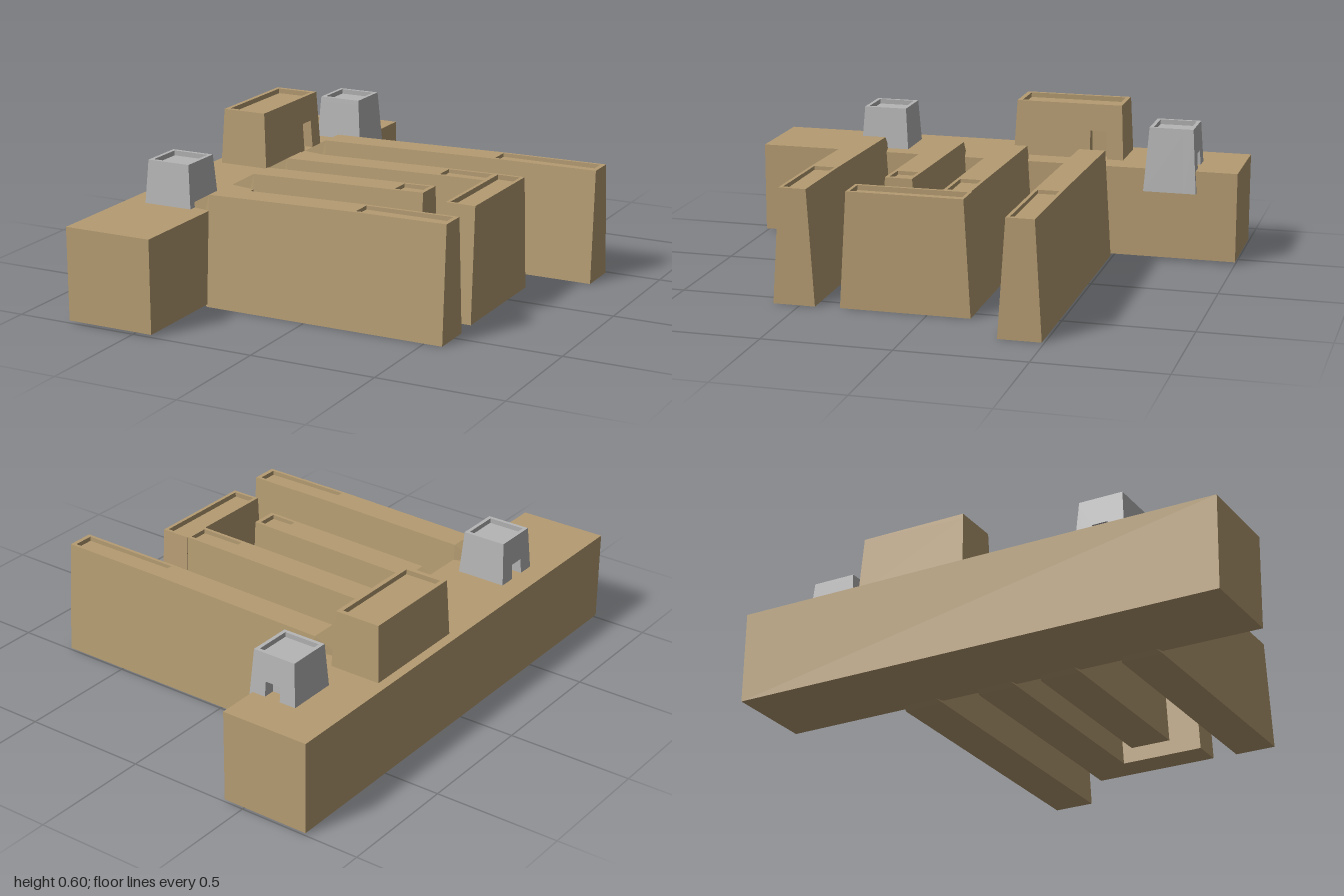
import * as THREE from 'three';
import { mergeGeometries } from 'three/addons/utils/BufferGeometryUtils.js';

const sand = new THREE.MeshStandardMaterial({ color: 0xb59c72 });
sand.name = 'sand';
const grey = new THREE.MeshStandardMaterial({ color: 0xb5b5b5 });
grey.name = 'stone grey';

function addMesh(parent, name, geometry, material) {
  const mesh = new THREE.Mesh(geometry, material);
  mesh.name = name;
  parent.add(mesh);
  return mesh;
}

function polygon(points) {
  return new THREE.Shape(points.map(([x, y]) => new THREE.Vector2(x, y)));
}

// Tapered block with a sunken top and an optional door niche on its +z side.
// w, d are the foot sizes, topW, topD the sizes at height h.
function turret({ w, d, h, topW, topD, rim, door }) {
  const sink = 0.02;
  const niche = 0.05;
  const bodyH = h - sink;
  const bodyD = door ? d - niche : d;
  const parts = [];

  const body = new THREE.BoxGeometry(w, bodyH, bodyD);
  body.translate(0, bodyH / 2, (bodyD - d) / 2);
  parts.push(body.toNonIndexed());

  if (door) {
    const a = door.x - door.w / 2;
    const b = door.x + door.w / 2;
    const face = polygon([
      [-w / 2, 0], [a, 0], [a, door.h], [b, door.h], [b, 0],
      [w / 2, 0], [w / 2, bodyH], [-w / 2, bodyH],
    ]);
    const front = new THREE.ExtrudeGeometry(face, { depth: niche, bevelEnabled: false });
    front.translate(0, 0, d / 2 - niche);
    parts.push(front);
  }

  // parapet ring
  const rect = (x, z) => [[-x, -z], [x, -z], [x, z], [-x, z]];
  const ring = polygon(rect(w / 2, d / 2));
  ring.holes.push(polygon(rect(w / 2 - rim, d / 2 - rim).reverse()));
  const parapet = new THREE.ExtrudeGeometry(ring, { depth: sink, bevelEnabled: false });
  parapet.rotateX(-Math.PI / 2).translate(0, bodyH, 0);
  parts.push(parapet);

  // lean the sides inward with height
  const geometry = mergeGeometries(parts);
  const p = geometry.attributes.position;
  for (let i = 0; i < p.count; i++) {
    const t = p.getY(i) / h;
    p.setX(i, p.getX(i) * (1 + t * (topW / w - 1)));
    p.setZ(i, p.getZ(i) * (1 + t * (topD / d - 1)));
  }
  geometry.computeVertexNormals();
  return geometry;
}

// Long wall along x with sloping sides, a pointed root and a shallow channel near its end.
function wall({ end, channel, stop = end - 0.018 }) {
  const section = (x, low, half, topHalf, top, depth) => {
    const inner = topHalf - 0.013;
    return [
      [low, -half], [low, half], [top, topHalf], [top, inner],
      [top - depth, inner], [top - depth, -inner], [top, -inner], [top, -topHalf],
    ].map(([y, z]) => [x, y, z]);
  };
  const rings = [
    section(-0.54, 0.04, 0.035, 0.03, 0.37, 0),
    section(-0.42, 0, 0.083, 0.054, 0.438, 0),
    section(channel, 0, 0.083, 0.054, 0.452, 0),
    section(channel, 0, 0.083, 0.054, 0.452, 0.015),
    section(stop, 0, 0.083, 0.054, 0.455, 0.018),
    section(stop, 0, 0.083, 0.054, 0.455, 0),
    section(end, 0, 0.083, 0.054, 0.455, 0),
  ];
  const out = [];
  const quad = (a, b, c, d) => out.push(...a, ...b, ...c, ...a, ...c, ...d);
  for (let i = 0; i < rings.length - 1; i++) {
    const r = rings[i];
    const s = rings[i + 1];
    for (let j = 0; j < 8; j++) {
      const k = (j + 1) % 8;
      quad(r[j], s[j], s[k], r[k]);
    }
  }
  const first = rings[0];
  const last = rings[rings.length - 1];
  quad(first[0], first[1], first[2], first[7]);
  quad(last[0], last[7], last[2], last[1]);
  const geometry = new THREE.BufferGeometry();
  geometry.setAttribute('position', new THREE.Float32BufferAttribute(out, 3));
  geometry.computeVertexNormals();
  return geometry;
}

export function createModel() {
  const model = new THREE.Group();
  model.name = 'harbourFort';

  // main quay
  const quay = new THREE.BoxGeometry(0.36, 0.365, 2);
  addMesh(model, 'quay', quay, sand).position.set(-0.6, 0.1925, 0);

  // parallel walls reaching out from the quay
  const walls = [
    { name: 'rearWall', z: -0.407, end: 0.775, channel: 0.34 },
    { name: 'hookWall', z: -0.083, end: 0.455, channel: 0.25 },
    { name: 'shortWall', z: 0.185, end: 0.315, channel: 0.19 },
    { name: 'frontWall', z: 0.522, end: 0.573, channel: 0.2 },
  ];
  for (const w of walls) addMesh(model, w.name, wall(w), sand).position.z = w.z;

  // return leg of the hooked wall
  const leg = turret({ w: 0.121, d: 0.51, h: 0.455, topW: 0.121, topD: 0.455, rim: 0.014 });
  addMesh(model, 'hookLeg', leg, sand).position.set(0.505, 0, 0.087);

  // keep, its door facing +x
  const keep = turret({
    w: 0.46, d: 0.21, h: 0.235, topW: 0.438, topD: 0.185, rim: 0.02,
    door: { x: 0.127, w: 0.07, h: 0.125 },
  });
  const keepMesh = addMesh(model, 'keep', keep, sand);
  keepMesh.position.set(-0.637, 0.365, -0.283);
  keepMesh.rotation.y = Math.PI / 2;

  // grey towers, one door facing -x and one facing -z
  const tower = turret({
    w: 0.214, d: 0.214, h: 0.26, topW: 0.178, topD: 0.178, rim: 0.018,
    door: { x: 0, w: 0.07, h: 0.15 },
  });
  const frontTower = addMesh(model, 'frontTower', tower, grey);
  frontTower.position.set(-0.593, 0.285, 0.493);
  frontTower.rotation.y = -Math.PI / 2;
  const rearTower = addMesh(model, 'rearTower', tower, grey);
  rearTower.position.set(-0.507, 0.285, -0.73);
  rearTower.rotation.y = Math.PI;

  return model;
}
